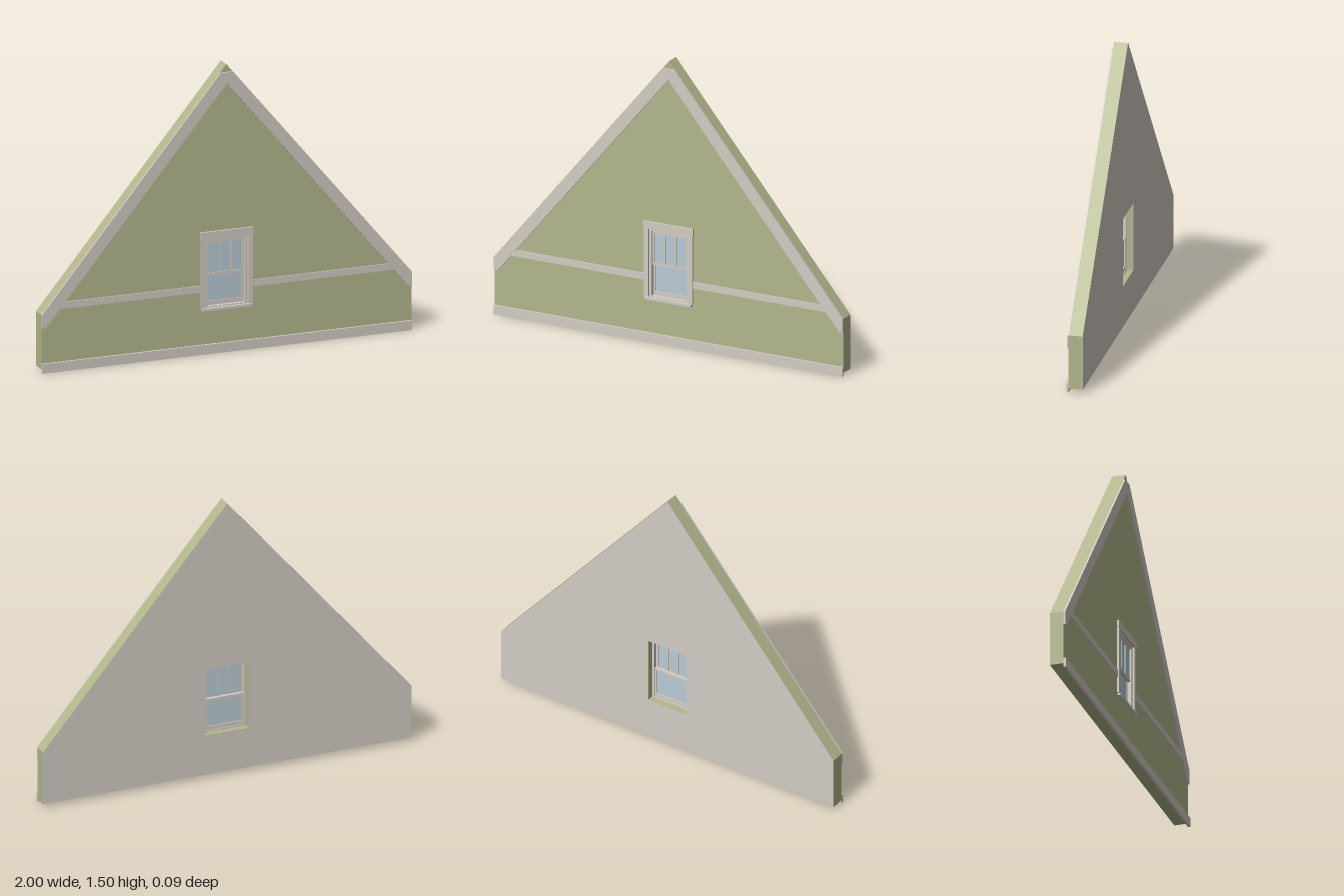
import * as THREE from 'three';

const mat = (name, color) => {
  const m = new THREE.MeshStandardMaterial({ color });
  m.name = name;
  return m;
};

export function createModel() {
  const green = mat('green siding', 0xb3b78d);
  const trim = mat('pale trim', 0xd2ccc3);
  const glass = mat('window glass', 0xb9cbd4);
  const root = new THREE.Group();
  root.name = 'gableWall';

  const BACK = -0.045, FRONT = 0.028;
  const polygon = (pts) => new THREE.Shape(pts.map(([x, y]) => new THREE.Vector2(x, y)));
  const extrude = (name, shape, z0, z1, material, parent = root) => {
    const geo = new THREE.ExtrudeGeometry(shape, { depth: z1 - z0, bevelEnabled: false });
    geo.translate(0, 0, z0);
    const mesh = new THREE.Mesh(geo, material);
    mesh.name = name;
    parent.add(mesh);
    return mesh;
  };
  // Box given by its limits on each axis
  const box = (name, x0, x1, y0, y1, z0, z1, material = trim, parent = root) => {
    const mesh = new THREE.Mesh(new THREE.BoxGeometry(x1 - x0, y1 - y0, z1 - z0), material);
    mesh.position.set((x0 + x1) / 2, (y0 + y1) / 2, (z0 + z1) / 2);
    mesh.name = name;
    parent.add(mesh);
    return mesh;
  };

  // Gable wall with a window opening, and a pale lining on its inner face
  const W = 0.115, B = 0.237, T = 0.6;
  const wall = polygon([[-1, 0.02], [1, 0.02], [1, 0.305], [0, 1.503], [-1, 0.305]]);
  wall.holes.push(polygon([[-W, B], [-W, T], [W, T], [W, B]]));
  extrude('wall', wall, BACK + 0.001, FRONT, green);
  const lining = new THREE.Mesh(new THREE.ShapeGeometry(wall).rotateY(Math.PI), trim);
  lining.position.z = BACK;
  lining.name = 'innerLining';
  root.add(lining);

  // Base board
  box('baseBoard', -1, 1, 0, 0.05, FRONT, 0.04);

  for (const s of [-1, 1]) {
    // Sloping rake board, cut level at both ends
    const pts = [[0, 1.405], [0, 1.462], [0.034, 1.462], [1, 0.305], [1, 0.235], [0.979, 0.235]];
    extrude('rakeBoard', polygon(pts.map(([x, y]) => [s * x, y])), FRONT, 0.037, trim);
    // Horizontal band on each side of the window
    const band = [[0.14, 0.325], [0.904, 0.325], [0.875, 0.36], [0.14, 0.36]];
    extrude('bandBoard', polygon(band.map(([x, y]) => [s * x, y])), FRONT, 0.034, trim);
  }

  // Window
  const win = new THREE.Group();
  win.name = 'window';
  root.add(win);
  const wbox = (name, x0, x1, y0, y1, z0, z1, m = trim) => box(name, x0, x1, y0, y1, z0, z1, m, win);

  // Rectangular frame with a rectangular opening
  const frame = (name, w, y0, y1, side, bottom, top, z0, z1) => {
    const s = polygon([[-w, y0], [w, y0], [w, y1], [-w, y1]]);
    const i = w - side;
    s.holes.push(polygon([[-i, y0 + bottom], [-i, y1 - top], [i, y1 - top], [i, y0 + bottom]]));
    extrude(name, s, z0, z1, trim, win);
  };

  // Casing, head and sill
  for (const s of [-1, 1]) {
    const x = s * 0.1275;
    wbox('sideCasing', x - 0.0125, x + 0.0125, 0.24, 0.6, FRONT, 0.037);
  }
  wbox('headCasing', -0.143, 0.143, 0.6, 0.638, FRONT, 0.039);
  wbox('sill', -0.134, 0.134, 0.226, 0.239, FRONT, 0.045);
  wbox('sillInner', -0.113, 0.113, 0.237, 0.243, -0.012, FRONT);

  // Jamb frame with two sashes, the lower one set further in
  frame('jambFrame', 0.115, 0.237, 0.6, 0.014, 0.008, 0.014, -0.012, 0.026);
  frame('upperSash', 0.101, 0.405, 0.586, 0.01, 0.013, 0.012, 0.006, 0.018);
  frame('lowerSash', 0.101, 0.245, 0.418, 0.01, 0.021, 0.012, -0.008, 0.006);
  wbox('upperGlass', -0.092, 0.092, 0.417, 0.575, 0.010, 0.014, glass);
  wbox('lowerGlass', -0.092, 0.092, 0.265, 0.407, -0.003, 0.001, glass);
  for (const x of [-0.03, 0.03]) {
    wbox('glazingBar', x - 0.004, x + 0.004, 0.417, 0.575, 0.007, 0.017);
  }
  return root;
}
